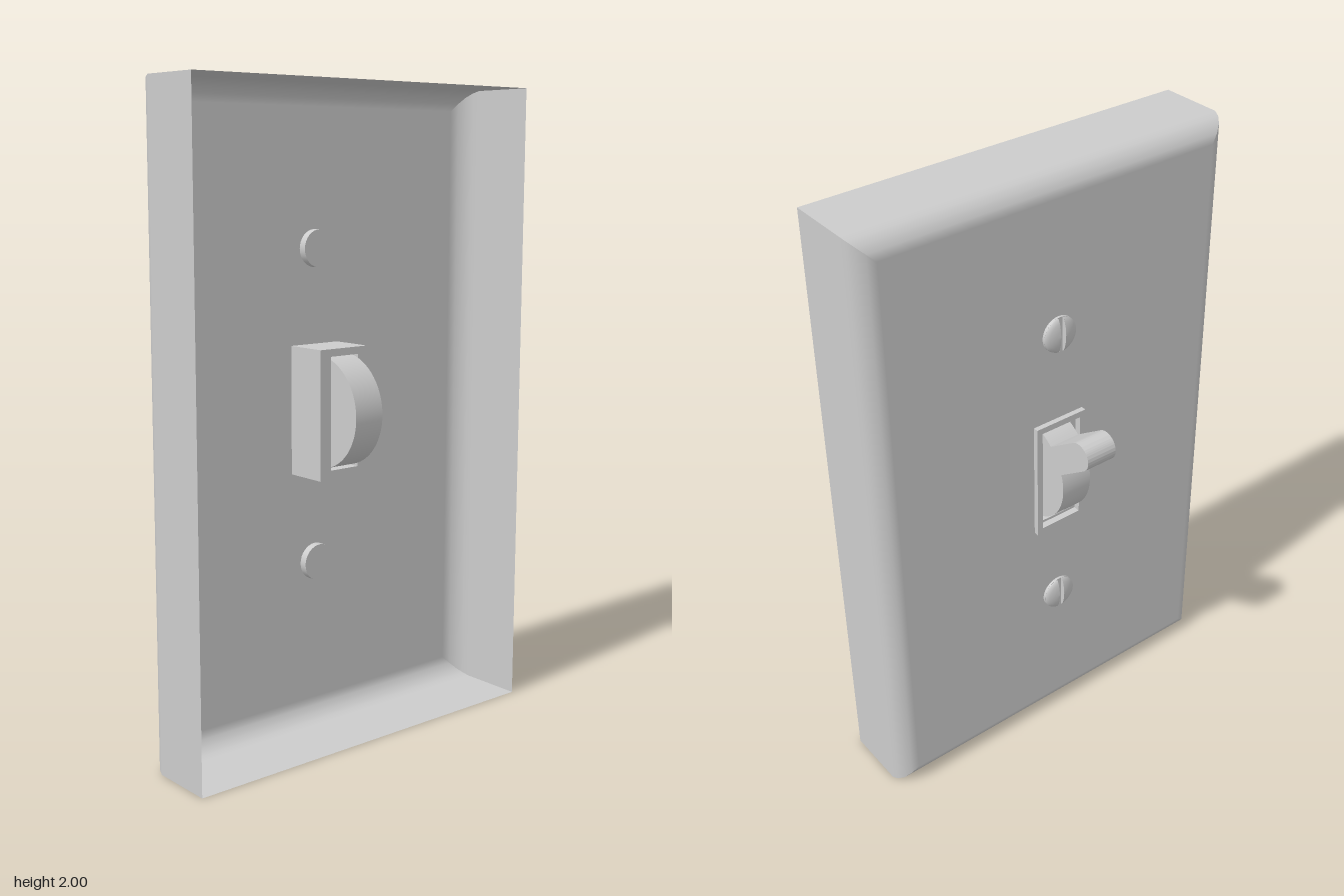
import * as THREE from 'three';
import { toCreasedNormals } from 'three/addons/utils/BufferGeometryUtils.js';

const CZ = 0.005; // shared z centre of the fittings

const paint = new THREE.MeshStandardMaterial({ color: 0xcccccc, side: THREE.DoubleSide });
paint.name = 'lightGrey';

function part(name, geometry, parent) {
  const mesh = new THREE.Mesh(geometry, paint);
  mesh.name = name;
  parent.add(mesh);
  return mesh;
}

// rectangle drawn as (z, y)
function rect(Type, z, y0, y1, cz = CZ) {
  return new Type([[cz - z, y0], [cz + z, y0], [cz + z, y1], [cz - z, y1]]
    .map(p => new THREE.Vector2(...p)));
}

// one hollow block running along x
function frame(outer, hole, xFront, xBack) {
  outer.holes.push(hole);
  return new THREE.ExtrudeGeometry(outer, { depth: xBack - xFront, bevelEnabled: false })
    .rotateY(-Math.PI / 2).translate(xBack, 0, 0);
}

// rounded plate edge: profile of [x, inset, normal angle] swept along a mitred side
function plateSide(n, half, halfAlong) {
  const profile = [[0.24, 0, 0], [0.035, 0, 0], [0.014, 0.007, 0.45],
    [-0.006, 0.021, 0.8], [-0.02, 0.041, 1.1], [-0.03, 0.065, 1.57]];
  const t = n.clone().cross(new THREE.Vector3(1, 0, 0));
  const pos = [], nor = [], idx = [];
  profile.forEach(([x, inset, a], i) => {
    for (const s of [-1, 1]) {
      const p = n.clone().multiplyScalar(half - inset).addScaledVector(t, s * (halfAlong - inset));
      pos.push(x, p.y + 1, p.z);
      nor.push(-Math.sin(a), n.y * Math.cos(a), n.z * Math.cos(a));
    }
    if (i) {
      const k = 2 * i - 2;
      idx.push(k, k + 1, k + 2, k + 1, k + 3, k + 2);
    }
  });
  const g = new THREE.BufferGeometry();
  g.setAttribute('position', new THREE.Float32BufferAttribute(pos, 3));
  g.setAttribute('normal', new THREE.Float32BufferAttribute(nor, 3));
  g.setIndex(idx);
  return g;
}

function makePlate() {
  const plate = new THREE.Group();
  plate.name = 'wallPlate';
  for (const s of [1, -1]) {
    part('plateEdge', plateSide(new THREE.Vector3(0, s, 0), 1, 0.64), plate);
    part('plateSide', plateSide(new THREE.Vector3(0, 0, s), 0.64, 1), plate);
  }
  const face = rect(THREE.Shape, 0.575, 0.065, 1.935, 0);
  face.holes.push(rect(THREE.Path, 0.085, 0.82, 1.205));
  part('plateFace', new THREE.ShapeGeometry(face).rotateY(-Math.PI / 2).translate(-0.03, 0, 0), plate);
  return plate;
}

// domed screw with a vertical slot
function makeScrew(y) {
  const screw = new THREE.Group();
  screw.name = 'screw';
  part('screwShank', new THREE.CylinderGeometry(0.058, 0.058, 0.033, 32)
    .rotateZ(Math.PI / 2).translate(-0.0215, 0, 0), screw);
  const slot = 0.009;
  const profile = [[0.058, 0.036], [0.056, 0.042], [0.045, 0.048], [0.025, 0.053], [0, 0.055]]
    .map(p => new THREE.Vector2(...p));
  const dome = new THREE.LatheGeometry(profile, 20, -Math.PI / 2, Math.PI);
  const p = dome.attributes.position;
  for (let i = 0; i < p.count; i++) p.setZ(i, Math.max(p.getZ(i), slot));
  const mirrored = profile.slice(0, -1).reverse().map(v => new THREE.Vector2(-v.x, v.y));
  const wall = new THREE.ShapeGeometry(new THREE.Shape([...profile, ...mirrored])).translate(0, 0, slot);
  for (const turn of [0, Math.PI]) {
    const halfHead = new THREE.Group();
    halfHead.name = 'screwHeadHalf';
    part('screwDome', dome.clone().rotateZ(Math.PI / 2), halfHead);
    part('slotWall', wall.clone().rotateZ(Math.PI / 2), halfHead);
    halfHead.rotation.x = turn;
    screw.add(halfHead);
  }
  screw.position.set(0, y, CZ);
  return screw;
}

// round pivot body and lever in one outline
function makeToggle() {
  const s = new THREE.Shape();
  s.absarc(0.05, 1.017, 0.175, 2.81, 2.28 + 2 * Math.PI, false);
  s.absarc(-0.195, 1.187, 0.045, 0.972, 0.972 + Math.PI, false);
  s.closePath();
  const width = 0.105;
  const g = new THREE.ExtrudeGeometry(s, { depth: width, bevelEnabled: false, curveSegments: 40 });
  return toCreasedNormals(g.translate(0, 0, 0.003 - width / 2), 0.5);
}

export function createModel() {
  const model = new THREE.Group();
  model.name = 'lightSwitch';
  model.add(makePlate());

  // switch housing: wide opening at the front lip, snug one behind
  const housing = new THREE.Group();
  housing.name = 'switchHousing';
  part('frontLip', frame(rect(THREE.Shape, 0.092, 0.813, 1.215),
    rect(THREE.Path, 0.072, 0.833, 1.195), -0.047, -0.025), housing);
  part('housingBox', frame(rect(THREE.Shape, 0.092, 0.813, 1.215),
    rect(THREE.Path, 0.054, 0.842, 1.192, 0.003), -0.025, 0.11), housing);
  model.add(housing);

  part('toggle', makeToggle(), model);
  for (const y of [0.52, 1.51]) model.add(makeScrew(y));
  return model;
}
